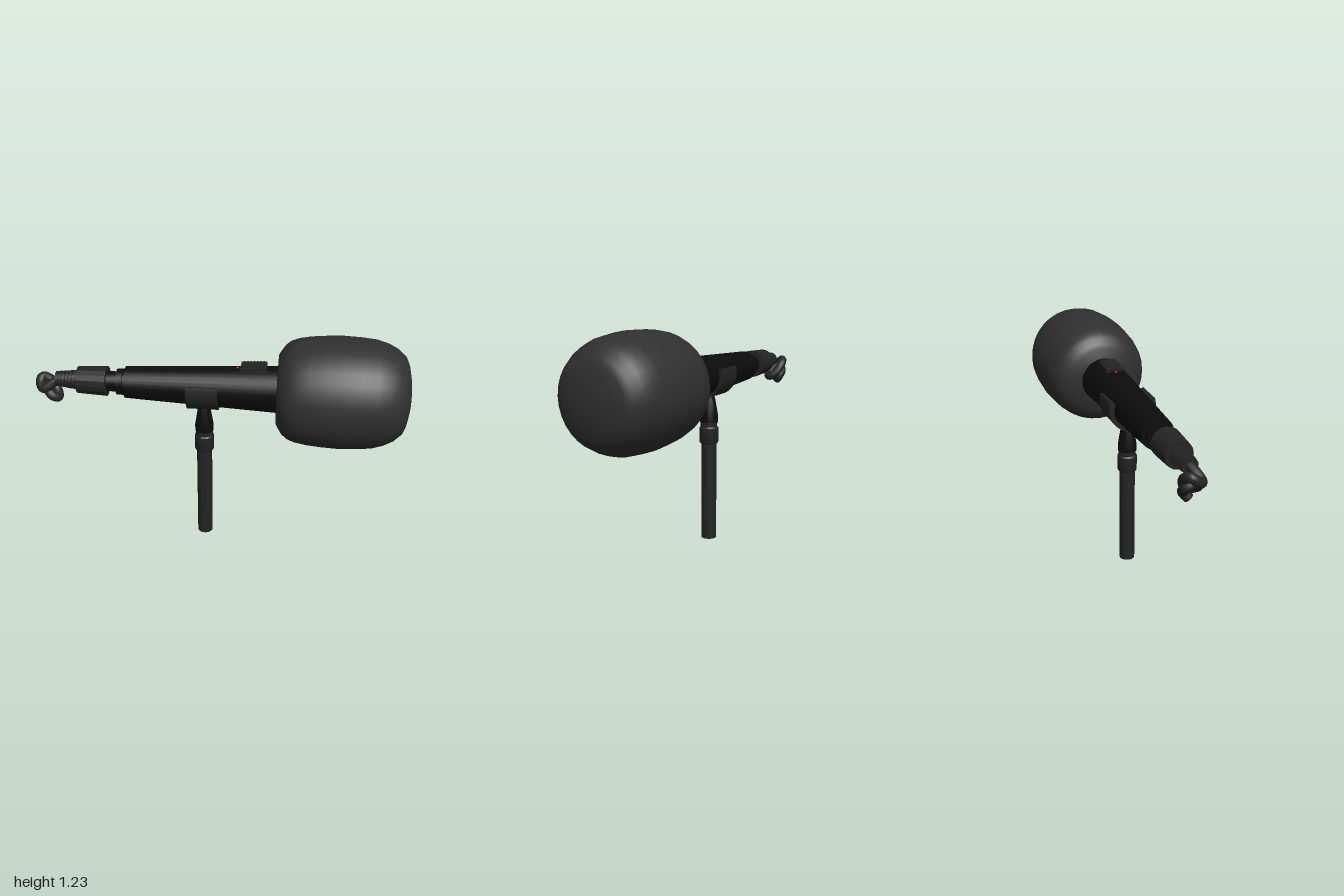
import * as THREE from 'three';
import { toCreasedNormals } from 'three/addons/utils/BufferGeometryUtils.js';

const AXIS_Y = 0.935;
const POLE_X = -0.08;

const paint = (color) => new THREE.MeshStandardMaterial({ color });
const black = paint(0x0c0c0c);
const dark = paint(0x242424);
const foam = paint(0x303030);
const red = paint(0xdd1111);

export function createModel() {
  const model = new THREE.Group();

  const add = (name, geometry, material, x = 0, y = 0, z = 0) => {
    const mesh = new THREE.Mesh(geometry, material);
    mesh.name = name;
    mesh.position.set(x, y, z);
    model.add(mesh);
    return mesh;
  };

  // Turned solid from [radius, height] pairs, lowest first
  const turned = (pairs, sides = 32, crease = 0.6) => {
    const points = pairs.map(([r, h]) => new THREE.Vector2(r, h));
    return toCreasedNormals(new THREE.LatheGeometry(points, sides), crease);
  };
  // The same, lying along x
  const along = (pairs, sides, crease) => turned(pairs, sides, crease).rotateZ(-Math.PI / 2);

  // Foam windscreen
  add('windscreen', along([
    [0, 0.31], [0.185, 0.31], [0.205, 0.322], [0.235, 0.342], [0.258, 0.37], [0.273, 0.41],
    [0.284, 0.47], [0.291, 0.55], [0.295, 0.64], [0.291, 0.73], [0.283, 0.81], [0.265, 0.87],
    [0.24, 0.92], [0.205, 0.96], [0.17, 0.976], [0.11, 0.99], [0.05, 0.998], [0, 1],
  ], 32, 1), foam, 0, AXIS_Y);

  // Tapered handle
  add('handle', along([[0, -0.5], [0.085, -0.5], [0.125, 0.33], [0, 0.33]]), black, 0, AXIS_Y);
  add('handleNeck', along([
    [0, -0.61], [0.054, -0.61], [0.054, -0.545], [0.07, -0.545], [0.07, -0.512],
    [0.06, -0.512], [0.06, -0.49], [0, -0.49],
  ]), black, 0, AXIS_Y);

  // Cable connector
  add('connector', along([
    [0, -0.76], [0.072, -0.76], [0.08, -0.6], [0.055, -0.6], [0, -0.6],
  ], 16, 0.3), dark, 0, AXIS_Y);

  // Ribbed strain relief
  const ribs = [[0, -0.88]];
  for (let i = 0; i < 6; i++) {
    const x = -0.88 + i * 0.02;
    const r = 0.041 + i * 0.002;
    ribs.push([r, x], [r, x + 0.013], [r - 0.007, x + 0.013], [r - 0.007, x + 0.02]);
  }
  ribs.push([0, -0.76]);
  add('strainRelief', along(ribs, 24), dark, 0, AXIS_Y);

  // Knotted cable end
  const path = new THREE.CatmullRomCurve3([
    [-0.86, 0.935, 0], [-0.9, 0.915, 0.015], [-0.945, 0.885, 0.028], [-0.972, 0.9, 0.0],
    [-0.968, 0.926, -0.035], [-0.93, 0.905, -0.05], [-0.89, 0.85, -0.03],
    [-0.878, 0.828, 0.008], [-0.905, 0.845, 0.027], [-0.945, 0.885, -0.005],
    [-0.945, 0.87, -0.045], [-0.91, 0.83, -0.045], [-0.915, 0.8, -0.02],
  ].map((p) => new THREE.Vector3(...p)));
  add('cable', new THREE.TubeGeometry(path, 90, 0.026, 12), dark);
  const end = path.getPoint(1);
  const cap = add('cableEnd', new THREE.CircleGeometry(0.026, 12), dark, end.x, end.y, end.z);
  cap.lookAt(end.clone().add(path.getTangent(1)));

  // Open-topped clip around the handle
  const clip = new THREE.Shape();
  clip.absarc(0, 0, 0.128, Math.PI - 0.33, 2 * Math.PI + 0.33, false);
  clip.absarc(0, 0, 0.1, 2 * Math.PI + 0.33, Math.PI - 0.33, true);
  const clipGeometry = new THREE.ExtrudeGeometry(clip, {
    depth: 0.165, bevelEnabled: false, curveSegments: 24,
  }).translate(0, 0, -0.0825).rotateY(Math.PI / 2);
  add('clip', toCreasedNormals(clipGeometry, 0.6), dark, POLE_X, 0.94);

  // Swivel, collar and pole
  add('swivel', turned([
    [0, 0.67], [0.05, 0.67], [0.05, 0.705], [0.036, 0.79], [0.03, 0.815], [0, 0.825],
  ]), black, POLE_X);
  add('collar', turned([
    [0, 0.55], [0.048, 0.55], [0.052, 0.556], [0.052, 0.637], [0.046, 0.645],
    [0.046, 0.677], [0, 0.677],
  ]), dark, POLE_X);
  add('pole', turned([[0, 0], [0.042, 0], [0.042, 0.56], [0, 0.56]]), dark, POLE_X);

  // Sliding switch with grip ridges, following the taper of the handle
  const button = new THREE.Group();
  button.name = 'switch';
  button.position.set(0.183, 1.055, 0);
  button.rotation.z = 0.048;
  const base = new THREE.Mesh(new THREE.BoxGeometry(0.135, 0.028, 0.092), dark);
  base.name = 'switchBase';
  button.add(base);
  for (let i = 0; i < 7; i++) {
    const ridge = new THREE.Mesh(new THREE.BoxGeometry(0.009, 0.01, 0.076), dark);
    ridge.name = 'switchRidge';
    ridge.position.set(-0.051 + i * 0.017, 0.016, 0);
    button.add(ridge);
  }
  model.add(button);

  // Indicator light
  add('indicatorLight', new THREE.SphereGeometry(0.007, 12, 8), red, 0.097, 1.05);

  return model;
}
